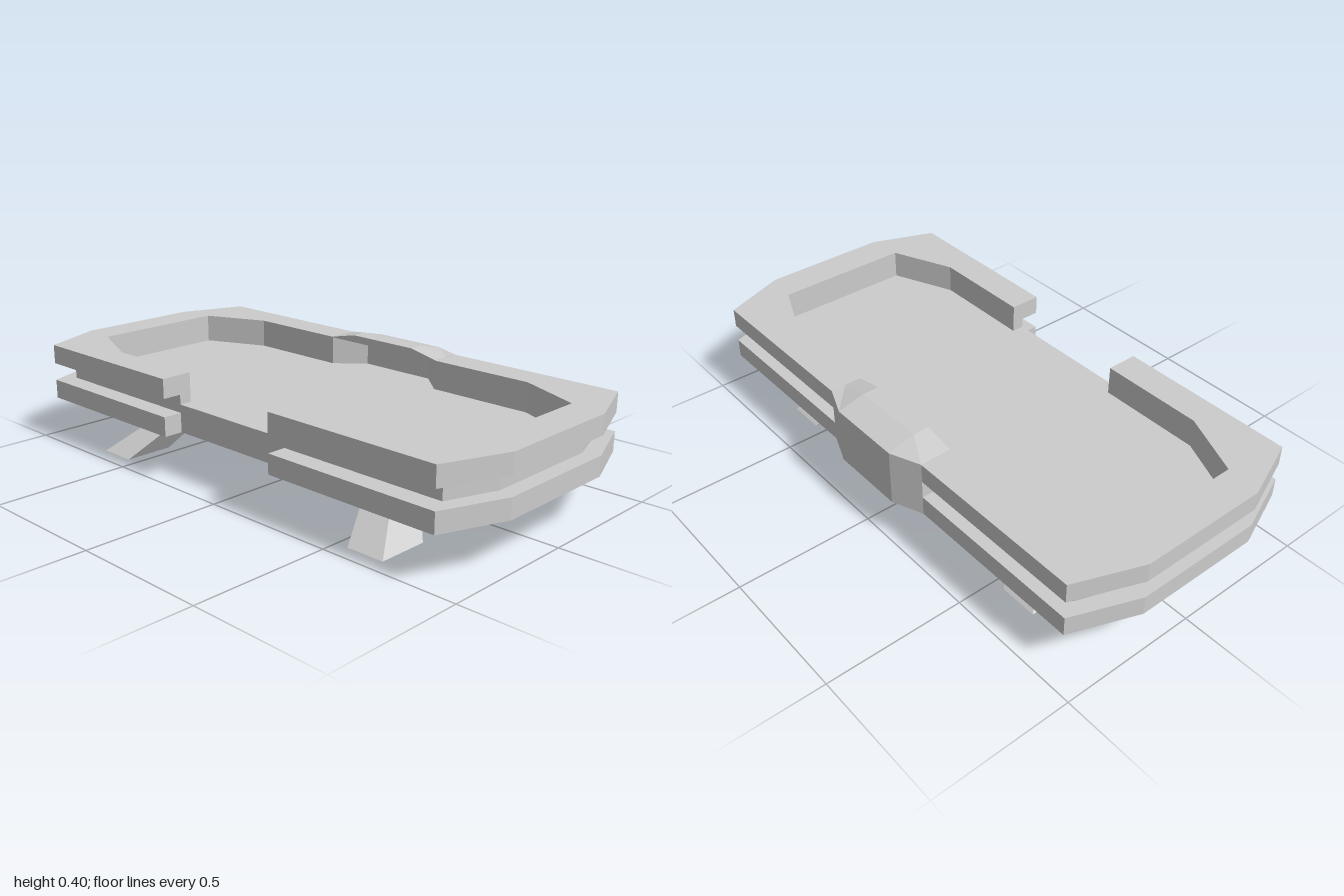
import * as THREE from 'three';

const GAP = 0.255; // half length of the opening in the -x side

export function createModel() {
  const group = new THREE.Group();
  const material = new THREE.MeshStandardMaterial({ color: 0xcccccc, flatShading: true });

  function add(name, geometry) {
    const mesh = new THREE.Mesh(geometry, material);
    mesh.name = name;
    group.add(mesh);
  }

  // Horizontal slab from [x, z] points between two heights
  function slab(name, points, y0, y1) {
    const shape = new THREE.Shape(points.map(([x, z]) => new THREE.Vector2(x, -z)));
    const g = new THREE.ExtrudeGeometry(shape, { depth: y1 - y0, bevelEnabled: false });
    g.rotateX(-Math.PI / 2).translate(0, y0, 0);
    add(name, g);
  }

  // Complete a half outline (z > 0) with its mirror image
  const mirrored = (half) => [...half, ...half.map(([x, z]) => [x, -z]).reverse()];

  // Solid through consecutive four- or five-sided loops, closed at both ends
  function loft(loops) {
    const n = loops[0].length, pos = [];
    const tri = (a, b, c) => pos.push(...a, ...b, ...c);
    for (let i = 0; i < loops.length - 1; i++) {
      for (let j = 0; j < n; j++) {
        const k = (j + 1) % n;
        const [a, b, c, d] = [loops[i][j], loops[i][k], loops[i + 1][k], loops[i + 1][j]];
        tri(a, b, c);
        tri(a, c, d);
      }
    }
    const first = loops[0], last = loops[loops.length - 1];
    for (let j = 1; j < n - 1; j++) {
      tri(first[0], first[j + 1], first[j]);
      tri(last[0], last[j], last[j + 1]);
    }
    const g = new THREE.BufferGeometry();
    g.setAttribute('position', new THREE.Float32BufferAttribute(pos, 3));
    g.computeVertexNormals();
    return g;
  }

  const outer = [[-0.49, GAP], [-0.49, 0.91], [-0.26, 1], [0.21, 1], [0.445, 0.91], [0.445, 0.25], [0.49, 0.14]];
  const core = [[-0.42, GAP], [-0.42, 0.88], [-0.24, 0.945], [0.19, 0.945], [0.38, 0.88],
    [0.38, 0.25], [0.445, 0.25], [0.49, 0.14]];
  // Inner wall of the tray, with a pocket behind the side bulge
  const inner = [[0.42, 0.15], [0.33, 0.25], [0.33, 0.64], [0.23, 0.872], [-0.275, 0.872], [-0.375, 0.64], [-0.375, GAP]];

  // C-shaped band: outer outline one way round, inner wall back again
  const band = (out) => [...mirrored(out), ...mirrored([...inner].reverse()).reverse()];

  // Tray layers
  slab('lowerPlate', mirrored([[-0.42, GAP], ...outer]), 0.17, 0.24);
  slab('trayFloor', mirrored(core), 0.24, 0.27);
  slab('grooveWall', band(core), 0.27, 0.305);
  slab('upperRim', band(outer), 0.305, 0.375);

  // Raised hump over the side bulge
  const section = (z, x, top) => [
    [0.33, 0.373, z], [x, 0.373, z], [x, 0.3755, z], [0.39, top, z], [0.33, top, z]];
  add('sideHump', loft([
    section(-0.25, 0.445, 0.376), section(-0.14, 0.49, 0.4),
    section(0.14, 0.49, 0.4), section(0.25, 0.445, 0.376)]));

  // Four splayed legs, wider at the foot
  const rect = (x0, x1, z0, z1, y) => [[x0, y, z1], [x1, y, z1], [x1, y, z0], [x0, y, z0]];
  const sides = [
    { name: 'Left', top: [0.04, 0.165], foot: [0.19, 0.355] },
    { name: 'Right', top: [-0.205, -0.085], foot: [-0.44, -0.255] }];
  for (const { name, top, foot } of sides) {
    add('front' + name + 'Leg', loft([rect(...foot, 0.545, 0.685, 0), rect(...top, 0.435, 0.53, 0.172)]));
    add('back' + name + 'Leg', loft([rect(...foot, -0.685, -0.545, 0), rect(...top, -0.53, -0.435, 0.172)]));
  }

  return group;
}
